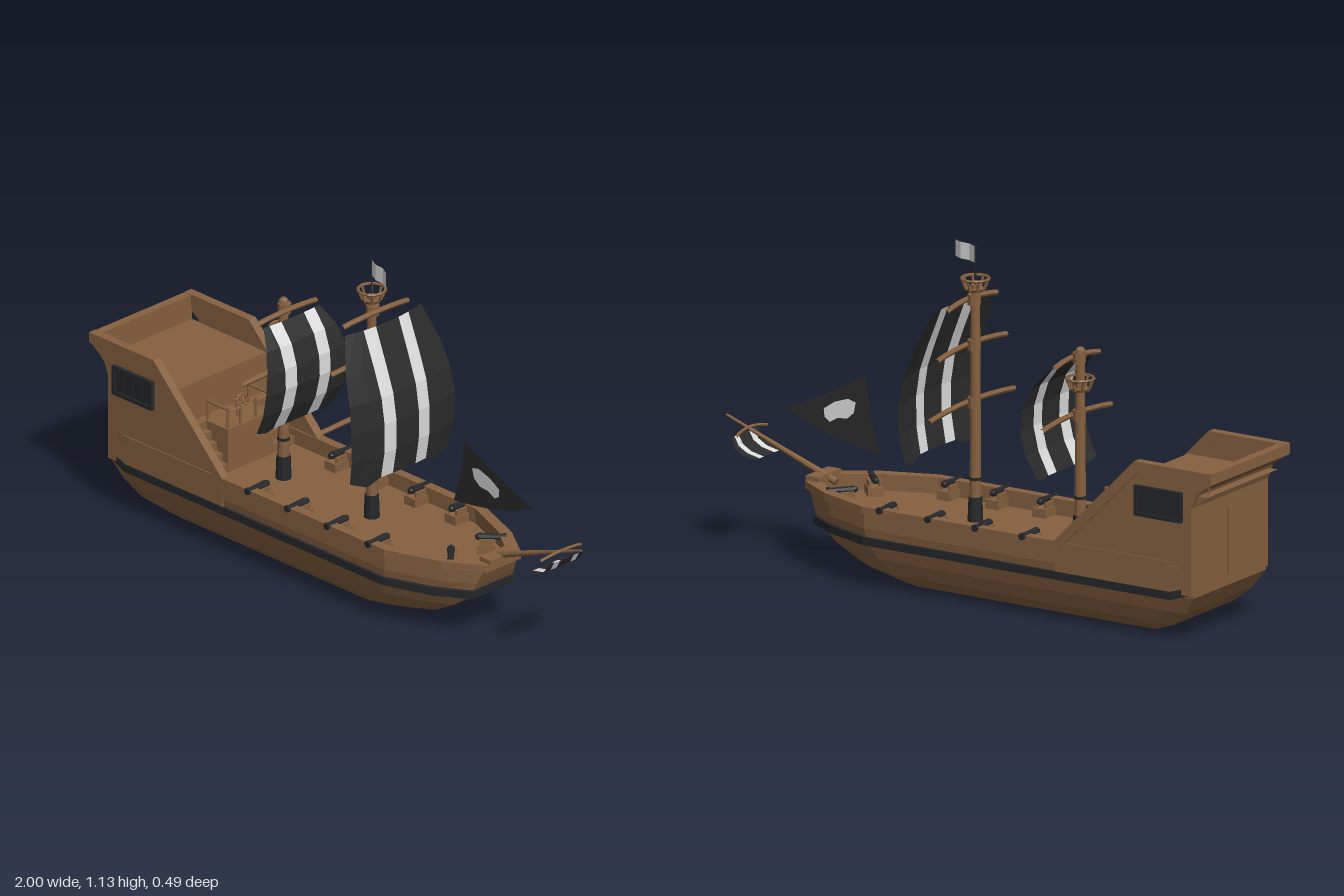
import * as THREE from 'three';

const mat = (name, color, side = THREE.FrontSide) => {
  const m = new THREE.MeshStandardMaterial({ color, side });
  m.name = name;
  m.flatShading = true;
  return m;
};

export function createModel() {
  const ship = new THREE.Group();
  ship.name = 'sailingShip';
  const wood = mat('wood', 0x85603f);
  const iron = mat('iron', 0x25272a);
  const black = mat('blackCloth', 0x2b2b2b, THREE.DoubleSide);
  const white = mat('whiteCloth', 0xdcdcdc, THREE.DoubleSide);

  const add = (name, geo, m, x = 0, y = 0, z = 0, parent = ship) => {
    const mesh = new THREE.Mesh(geo, m);
    mesh.name = name;
    mesh.position.set(x, y, z);
    parent.add(mesh);
    return mesh;
  };
  const box = (name, m, w, h, d, x, y, z, parent) => add(name, new THREE.BoxGeometry(w, h, d), m, x, y, z, parent);
  const V = (x, y, z) => new THREE.Vector3(x, y, z);

  // Tapered round bar between two points
  const bar = (name, m, a, b, ra, rb = ra, sides = 8, parent = ship) => {
    const d = b.clone().sub(a);
    const mesh = add(name, new THREE.CylinderGeometry(rb, ra, d.length(), sides), m, 0, 0, 0, parent);
    mesh.position.copy(a).add(b).multiplyScalar(0.5);
    mesh.quaternion.setFromUnitVectors(V(0, 1, 0), d.normalize());
    return mesh;
  };

  // Skin over a stack of loops, optionally closed round and capped
  const loft = (loops, closed = true, caps = false) => {
    const pos = [];
    const tri = (...p) => p.forEach((v) => pos.push(v.x, v.y, v.z));
    const n = loops[0].length;
    for (let k = 0; k < loops.length - 1; k++) {
      const a = loops[k], b = loops[k + 1];
      for (let i = 0; i < (closed ? n : n - 1); i++) {
        const j = (i + 1) % n;
        tri(a[i], a[j], b[j]);
        tri(a[i], b[j], b[i]);
      }
    }
    if (caps) {
      const lo = loops[0], hi = loops[loops.length - 1];
      for (let i = 1; i < n - 1; i++) {
        tri(lo[0], lo[i + 1], lo[i]);
        tri(hi[0], hi[i], hi[i + 1]);
      }
    }
    const g = new THREE.BufferGeometry();
    g.setAttribute('position', new THREE.Float32BufferAttribute(pos, 3));
    g.computeVertexNormals();
    return g;
  };

  // Mirrored waterline: stern x, beam, then three points towards the bow
  const waterline = (y, xs, w, x1, x2, w2, x3, w3, lift = 0) => {
    const half = [V(xs, y + lift, w * 0.97), V(xs + 0.07, y, w), V(x1, y, w), V(x2, y, w2), V(x3, y, w3)];
    return [...half, ...half.map((p) => V(p.x, p.y, -p.z)).reverse()];
  };

  // Hull, with bulwark and sunken deck in one skin
  add('hull', loft([
    waterline(0.002, -0.67, 0.10, 0.13, 0.19, 0.08, 0.23, 0.06),
    waterline(0.015, -0.73, 0.14, 0.18, 0.26, 0.11, 0.31, 0.075),
    waterline(0.05, -0.82, 0.175, 0.25, 0.36, 0.135, 0.43, 0.09),
    waterline(0.10, -0.88, 0.196, 0.29, 0.43, 0.145, 0.52, 0.095),
    waterline(0.16, -0.92, 0.214, 0.32, 0.48, 0.155, 0.59, 0.09),
    waterline(0.20, -0.92, 0.22, 0.33, 0.50, 0.155, 0.61, 0.085),
    waterline(0.265, -0.92, 0.22, 0.33, 0.52, 0.15, 0.64, 0.07),
    waterline(0.265, -0.90, 0.198, 0.32, 0.50, 0.13, 0.61, 0.055),
    waterline(0.22, -0.90, 0.198, 0.32, 0.50, 0.13, 0.61, 0.055),
  ], true, true), wood);

  // Ring-shaped trims round the hull
  const trim = (name, m, y0, y1, lift, o, i) => add(name, loft([
    waterline(y0, ...i, lift), waterline(y0, ...o, lift), waterline(y1, ...o, lift), waterline(y1, ...i, lift), waterline(y0, ...i, lift),
  ]), m);
  trim('hullBand', iron, 0.148, 0.174, 0.022,
    [-0.91, 0.226, 0.33, 0.49, 0.168, 0.605, 0.098], [-0.89, 0.2, 0.31, 0.46, 0.14, 0.56, 0.08]);
  trim('deckRail', wood, 0.25, 0.275, 0,
    [-0.90, 0.226, 0.335, 0.525, 0.156, 0.65, 0.075], [-0.88, 0.194, 0.32, 0.495, 0.126, 0.605, 0.052]);
  box('bowRail', wood, 0.05, 0.02, 0.13, 0.63, 0.28, 0);

  // Stern castle: solid cabin with sloping side walls
  const plate = (name, pts, depth, z) => add(name, new THREE.ExtrudeGeometry(
    new THREE.Shape(pts.map((p) => new THREE.Vector2(...p))), { depth, bevelEnabled: false }), wood, 0, 0, z);
  const transom = [[-0.92, 0.17], [-0.92, 0.46], [-0.94, 0.51], [-1, 0.55], [-1, 0.585]];
  plate('cabin', [[-0.63, 0.2], [-0.63, 0.5], [-0.97, 0.5], [-0.97, 0.585], ...transom.slice().reverse()].reverse(), 0.404, -0.202);
  for (const s of [1, -1]) {
    plate('sternWall', [...transom, [-0.71, 0.585], [-0.4, 0.27], [-0.4, 0.17]], 0.022, s * 0.211 - 0.011);
    plate('sternMoulding', [[-1, 0.552], [-1, 0.587], [-0.708, 0.587], [-0.395, 0.272], [-0.42, 0.252], [-0.722, 0.552]],
      0.03, s * 0.213 - 0.015);
    // Barred window
    const win = new THREE.Group();
    win.name = 'sternWindow';
    win.position.set(-0.8, 0.46, s * 0.225);
    ship.add(win);
    box('windowPane', iron, 0.17, 0.09, 0.008, 0, 0, 0, win);
    for (const e of [1, -1]) {
      box('windowFrame', iron, 0.18, 0.012, 0.022, 0, e * 0.044, 0, win);
      box('windowFrame', iron, 0.012, 0.1, 0.022, e * 0.084, 0, 0, win);
    }
    for (const x of [-0.042, 0, 0.042]) box('windowBar', iron, 0.005, 0.09, 0.014, x, 0, 0, win);
    // Stairs beside the helm platform
    for (let i = 0; i < 5; i++) {
      const h = 0.03 * (i + 1);
      box('stair', wood, 0.026, h, 0.1, -0.515 - 0.024 * i, 0.22 + h / 2, s * 0.15);
    }
    // Helm railing
    for (const x of [-0.6, -0.51]) bar('railPost', wood, V(x, 0.37, s * 0.09), V(x, 0.44, s * 0.09), 0.005, 0.005, 6);
    bar('railBar', wood, V(-0.605, 0.435, s * 0.09), V(-0.505, 0.435, s * 0.09), 0.005, 0.005, 6);
    bar('frontRail', wood, V(-0.51, 0.425, s * 0.09), V(-0.51, 0.425, s * 0.035), 0.005, 0.005, 6);
    bar('railPost', wood, V(-0.51, 0.37, s * 0.035), V(-0.51, 0.435, s * 0.035), 0.005, 0.005, 6);
  }
  box('helmPlatform', wood, 0.13, 0.15, 0.2, -0.565, 0.295, 0);
  box('rudderPanel', wood, 0.012, 0.22, 0.03, -0.922, 0.31, 0);

  // Steering wheel
  bar('wheelStand', wood, V(-0.555, 0.37, 0), V(-0.555, 0.425, 0), 0.008, 0.006, 6);
  add('wheelRim', new THREE.TorusGeometry(0.024, 0.004, 5, 12), wood, -0.542, 0.425, 0).rotation.y = Math.PI / 2;
  for (let i = 0; i < 4; i++) {
    const c = Math.cos(i * Math.PI / 4) * 0.035, s = Math.sin(i * Math.PI / 4) * 0.035;
    bar('wheelSpoke', wood, V(-0.542, 0.425 - c, -s), V(-0.542, 0.425 + c, s), 0.0025, 0.0025, 5);
  }

  // Masts, yards and lookout baskets
  const yard = (x, y, half, r = 0.009) => add('yard', new THREE.TubeGeometry(
    new THREE.QuadraticBezierCurve3(V(x - 0.005, y - 0.012, -half), V(x + 0.012, y + 0.012, 0), V(x - 0.005, y - 0.012, half)),
    8, r, 6), wood);
  const mast = (x, top, nest, yards) => {
    bar('mast', wood, V(x, 0.22, 0), V(x, top, 0), 0.02, 0.015, 10);
    bar('mastFoot', iron, V(x, 0.22, 0), V(x, 0.3, 0), 0.026, 0.023, 10);
    bar('mastHoop', iron, V(x, 0.355, 0), V(x, 0.365, 0), 0.0205, 0.0205, 10);
    add('nestFloor', new THREE.CylinderGeometry(0.032, 0.026, 0.01, 10), wood, x, nest, 0);
    add('nestRim', new THREE.TorusGeometry(0.045, 0.005, 5, 12), wood, x, nest + 0.037, 0).rotation.x = Math.PI / 2;
    for (let i = 0; i < 8; i++) {
      const c = Math.cos(i * Math.PI / 4), s = Math.sin(i * Math.PI / 4);
      bar('nestPost', wood, V(x + c * 0.03, nest, s * 0.03), V(x + c * 0.045, nest + 0.037, s * 0.045), 0.004, 0.004, 5);
    }
    for (const [y, half] of yards) {
      yard(x + 0.02, y, half);
      add('yardHoop', new THREE.CylinderGeometry(0.022, 0.022, 0.035, 8), wood, x + 0.004, y, 0);
    }
  };
  mast(0.05, 1.0, 0.983, [[0.95, 0.145], [0.8, 0.2], [0.61, 0.245]]);
  mast(-0.35, 0.84, 0.715, [[0.82, 0.13], [0.63, 0.2]]);
  add('mastCap', new THREE.SphereGeometry(0.017, 8, 6), wood, -0.35, 0.84, 0);

  // Flag
  bar('flagPole', iron, V(0.05, 0.99, 0), V(0.05, 1.128, 0), 0.003, 0.003, 5);
  add('flag', loft([1.07, 1.125].map((y) => [V(0.05, y, 0), V(0.085, y, 0.018), V(0.12, y, 0.02), V(0.15, y, 0.036)]), false), white);

  // Striped sails from rows of [x, y, half width, corner dip]
  const sail = (name, rows, s0, s1, belly) => {
    const g = new THREE.Group();
    g.name = name;
    ship.add(g);
    const stripe = (m, cols) => add('stripe', loft(rows.map(([x, y, w, dip = 0]) => cols(w).map(([z, k = 0]) =>
      V(x - belly * (z / w) ** 2, y - dip * k, z))), false), m, 0, 0, 0, g);
    stripe(black, () => [[-s0], [s0]]);
    for (const s of [1, -1]) {
      stripe(white, () => [[s * s0], [s * s1]]);
      stripe(black, (w) => [[s * s1], [s * (s1 + (w - s1) * 0.45), 1], [s * w, -0.4]]);
    }
  };
  sail('mainSail', [[0.122, 0.93, 0.17], [0.168, 0.81, 0.21], [0.2, 0.72, 0.224], [0.214, 0.63, 0.232],
    [0.213, 0.53, 0.228], [0.198, 0.44, 0.222, 0.02]], 0.05, 0.1, 0.022);
  sail('rearSail', [[-0.308, 0.8, 0.125], [-0.262, 0.74, 0.155], [-0.239, 0.67, 0.175], [-0.236, 0.6, 0.184],
    [-0.255, 0.52, 0.18], [-0.293, 0.445, 0.17, 0.008]], 0.05, 0.1, 0.006);

  // Bowsprit with its little sail
  bar('bowsprit', wood, V(0.58, 0.265, 0), V(1.0, 0.423, 0), 0.013, 0.004, 8);
  yard(0.91, 0.395, 0.09, 0.005);
  sail('spritSail', [[0.935, 0.375, 0.075], [0.918, 0.345, 0.084], [0.885, 0.326, 0.086], [0.838, 0.316, 0.084]], 0.03, 0.056, 0.004);

  // Triangular foresail with a pale patch on both faces
  const jib = new THREE.Group();
  jib.name = 'jib';
  jib.position.set(0.47, 0.632, 0);
  jib.rotation.x = 0.085;
  ship.add(jib);
  const cloth = new THREE.Shape();
  cloth.moveTo(0, 0);
  cloth.quadraticCurveTo(-0.02, -0.13, -0.07, -0.243);
  cloth.quadraticCurveTo(0.13, -0.225, 0.295, -0.147);
  cloth.quadraticCurveTo(0.14, -0.085, 0, 0);
  add('jibCloth', new THREE.ShapeGeometry(cloth, 6), black, 0, 0, 0, jib);
  const patch = new THREE.Shape([[0.03, -0.09], [0.06, -0.083], [0.11, -0.1], [0.15, -0.128], [0.145, -0.155], [0.125, -0.168],
    [0.095, -0.15], [0.06, -0.148], [0.035, -0.125]].map((p) => new THREE.Vector2(...p)));
  for (const z of [0.003, -0.003]) add('jibPatch', new THREE.ShapeGeometry(patch), white, 0, 0, z, jib);

  // Cannons on blocks, firing along local +z
  const cannon = (x, z, turn) => {
    const g = new THREE.Group();
    g.name = 'cannon';
    g.position.set(x, 0.22, z);
    g.rotation.y = turn;
    ship.add(g);
    box('carriage', wood, 0.05, 0.03, 0.06, 0, 0.015, -0.01, g);
    for (const e of [1, -1]) box('cheek', wood, 0.008, 0.022, 0.045, e * 0.017, 0.038, -0.008, g);
    bar('barrel', iron, V(0, 0.052, -0.03), V(0, 0.052, 0.05), 0.013, 0.009, 8, g);
    bar('muzzle', iron, V(0, 0.052, 0.046), V(0, 0.052, 0.056), 0.012, 0.012, 8, g);
    add('breech', new THREE.SphereGeometry(0.011, 7, 5), iron, 0, 0.052, -0.034, g);
  };
  for (const s of [1, -1]) {
    for (const x of [-0.28, -0.1, 0.08, 0.265]) cannon(x, s * 0.178, s > 0 ? 0 : Math.PI);
    cannon(0.495, s * 0.085, Math.PI / 2 - s * 0.8);
  }
  return ship;
}
